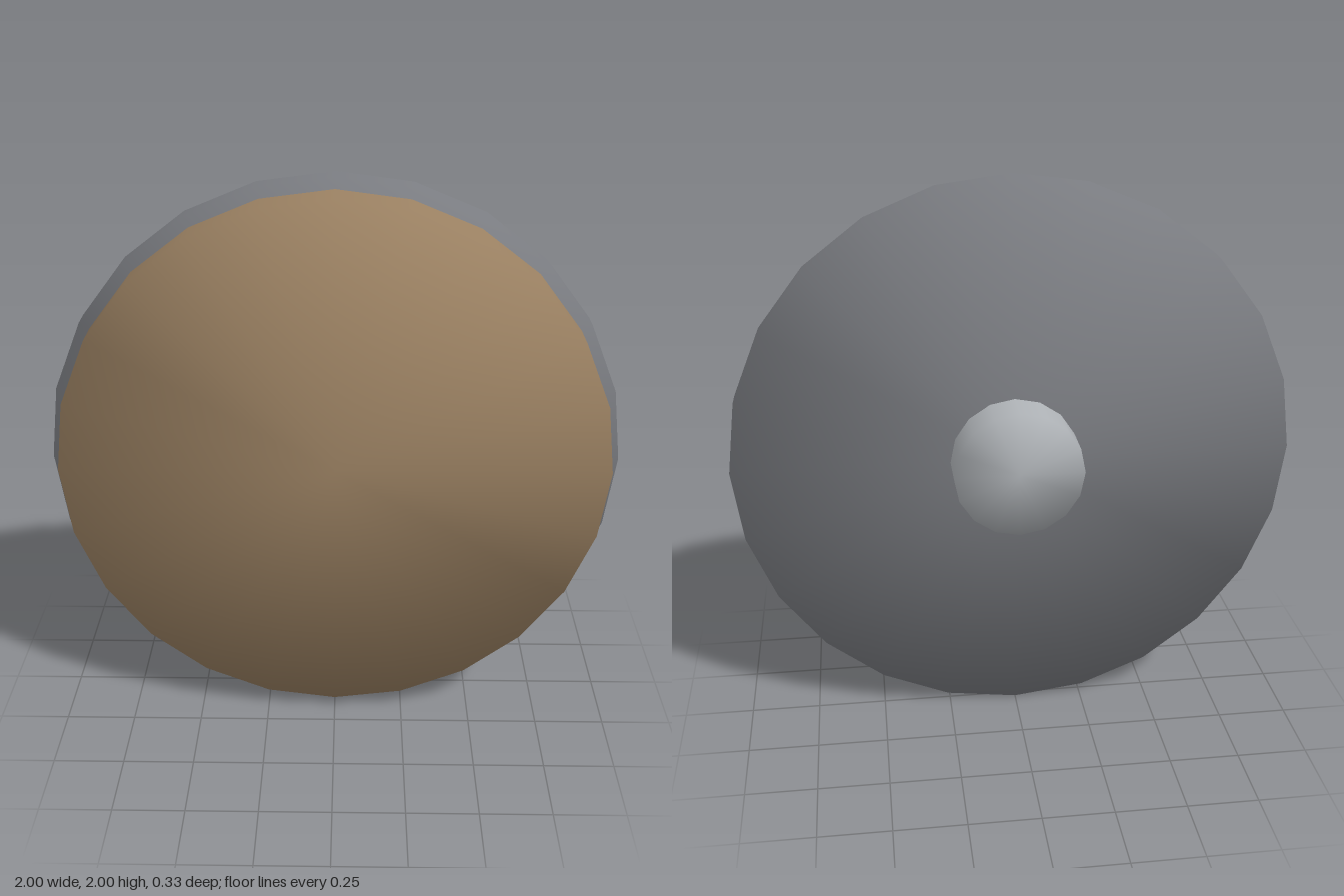
import * as THREE from 'three';

// Round plate facing +z whose cap normals lean out radially at the rim,
// so the flat faces shade softly like a dome.
function softDisc(radius, zBack, zFront, sides) {
  const geo = new THREE.CylinderGeometry(radius, radius, zFront - zBack, sides);
  const pos = geo.attributes.position;
  const normal = geo.attributes.normal;
  for (let i = 0; i < pos.count; i++) {
    const x = pos.getX(i), z = pos.getZ(i);
    const r = Math.hypot(x, z);
    if (r > radius * 0.5) normal.setXYZ(i, x / r, 0, z / r);
  }
  geo.rotateX(Math.PI / 2);
  geo.translate(0, 1, (zBack + zFront) / 2);
  return geo;
}

export function createModel() {
  const group = new THREE.Group();
  group.name = 'roundPlate';

  const addDisc = (name, color, ...dims) => {
    const material = new THREE.MeshStandardMaterial({ color });
    const mesh = new THREE.Mesh(softDisc(...dims), material);
    mesh.name = name;
    group.add(mesh);
  };

  // Front facing, dark backing rim, and mounting boss behind
  addDisc('frontFace', 0x9c8263, 0.96, 0.05, 0.167, 24);
  addDisc('backPlate', 0x7c7e83, 1, -0.025, 0.05, 24);
  addDisc('rearBoss', 0xb0b4b8, 0.23, -0.167, -0.025, 16);

  return group;
}
